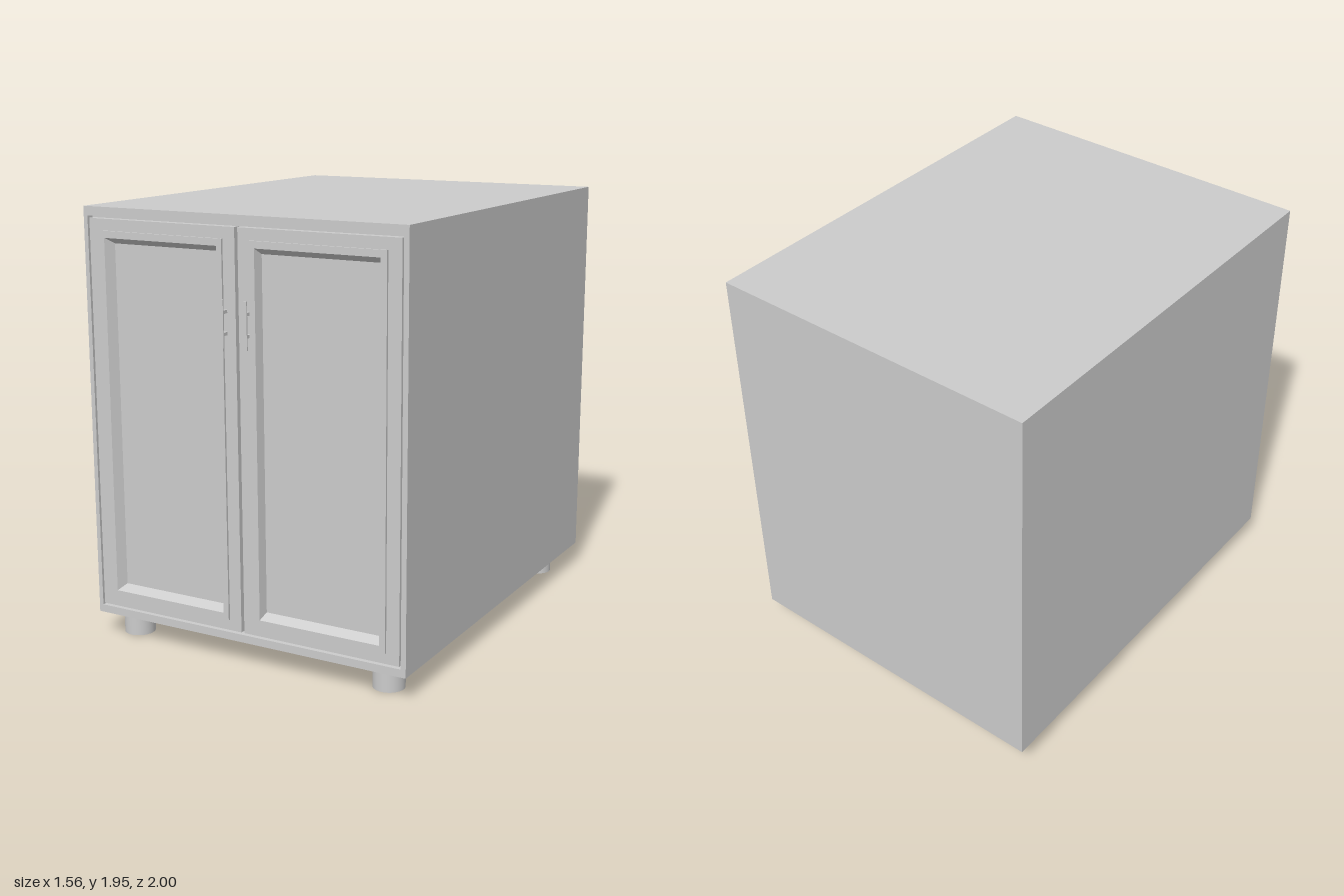
import * as THREE from 'three';

const mat = new THREE.MeshStandardMaterial({ color: 0xcccccc });

function add(parent, name, geometry, x = 0, y = 0, z = 0) {
  const mesh = new THREE.Mesh(geometry, mat);
  mesh.name = name;
  mesh.position.set(x, y, z);
  parent.add(mesh);
  return mesh;
}

// Box given by its limits on each axis
function block(parent, name, x0, x1, y0, y1, z0, z1) {
  return add(parent, name, new THREE.BoxGeometry(x1 - x0, y1 - y0, z1 - z0),
    (x0 + x1) / 2, (y0 + y1) / 2, (z0 + z1) / 2);
}

// Skin over successive rectangles [x0, x1, y0, y1, z], the last one capped
function steppedPanel(rects) {
  const pos = [];
  const rings = rects.map(([x0, x1, y0, y1, z]) =>
    [[x0, y0, z], [x1, y0, z], [x1, y1, z], [x0, y1, z]]);
  const quad = (a, b, c, d) => pos.push(...a, ...b, ...c, ...a, ...c, ...d);
  for (let i = 0; i < rings.length - 1; i++) {
    for (let k = 0; k < 4; k++) {
      const n = (k + 1) % 4;
      quad(rings[i][k], rings[i][n], rings[i + 1][n], rings[i + 1][k]);
    }
  }
  quad(...rings[rings.length - 1]);
  const g = new THREE.BufferGeometry();
  g.setAttribute('position', new THREE.Float32BufferAttribute(pos, 3));
  g.computeVertexNormals();
  return g;
}

export function createModel() {
  const cabinet = new THREE.Group();
  cabinet.name = 'cabinet';

  // Carcass, with a rim around the doors
  const front = 0.965, back = 0.93;
  block(cabinet, 'carcass', -0.78, 0.78, 0.11, 1.95, -1, back);
  const rim = new THREE.Shape([[-0.78, 0.11], [0.78, 0.11], [0.78, 1.95], [-0.78, 1.95]]
    .map(p => new THREE.Vector2(...p)));
  rim.holes.push(new THREE.Path([[-0.76, 0.145], [-0.76, 1.91], [0.757, 1.91], [0.757, 0.145]]
    .map(p => new THREE.Vector2(...p))));
  add(cabinet, 'frontRim',
    new THREE.ExtrudeGeometry(rim, { depth: front - back, bevelEnabled: false }), 0, 0, back);

  // Doors: slab, raised moulding, then a bevel down to the sunken panel
  const doors = [
    { name: 'rightDoor', slab: [-0.75, -0.012], mould: [-0.693, -0.07], open: [-0.667, -0.096], panel: [-0.641, -0.101] },
    { name: 'leftDoor', slab: [0.003, 0.75], mould: [0.06, 0.69], open: [0.088, 0.662], panel: [0.099, 0.641] },
  ];
  for (const d of doors) {
    add(cabinet, d.name, steppedPanel([
      [...d.slab, 0.155, 1.9, back],
      [...d.slab, 0.155, 1.9, front],
      [...d.mould, 0.203, 1.85, front],
      [...d.mould, 0.203, 1.85, 0.975],
      [...d.open, 0.233, 1.82, 0.975],
      [...d.panel, 0.258, 1.794, 0.935],
    ]));
  }

  // Slim upright handles, each on two posts
  for (const [name, x] of [['rightHandle', -0.06], ['leftHandle', 0.054]]) {
    const handle = new THREE.Group();
    handle.name = name;
    block(handle, 'grip', x - 0.009, x + 0.009, 1.403, 1.607, 0.994, 1);
    for (const y of [1.46, 1.552]) {
      block(handle, 'post', x - 0.007, x + 0.007, y - 0.007, y + 0.007, front, 0.995);
    }
    cabinet.add(handle);
  }

  // Round feet
  for (const x of [-0.65, 0.64]) {
    for (const z of [0.84, -0.81]) {
      add(cabinet, 'foot', new THREE.CylinderGeometry(0.07, 0.07, 0.11, 32), x, 0.055, z);
    }
  }
  return cabinet;
}
